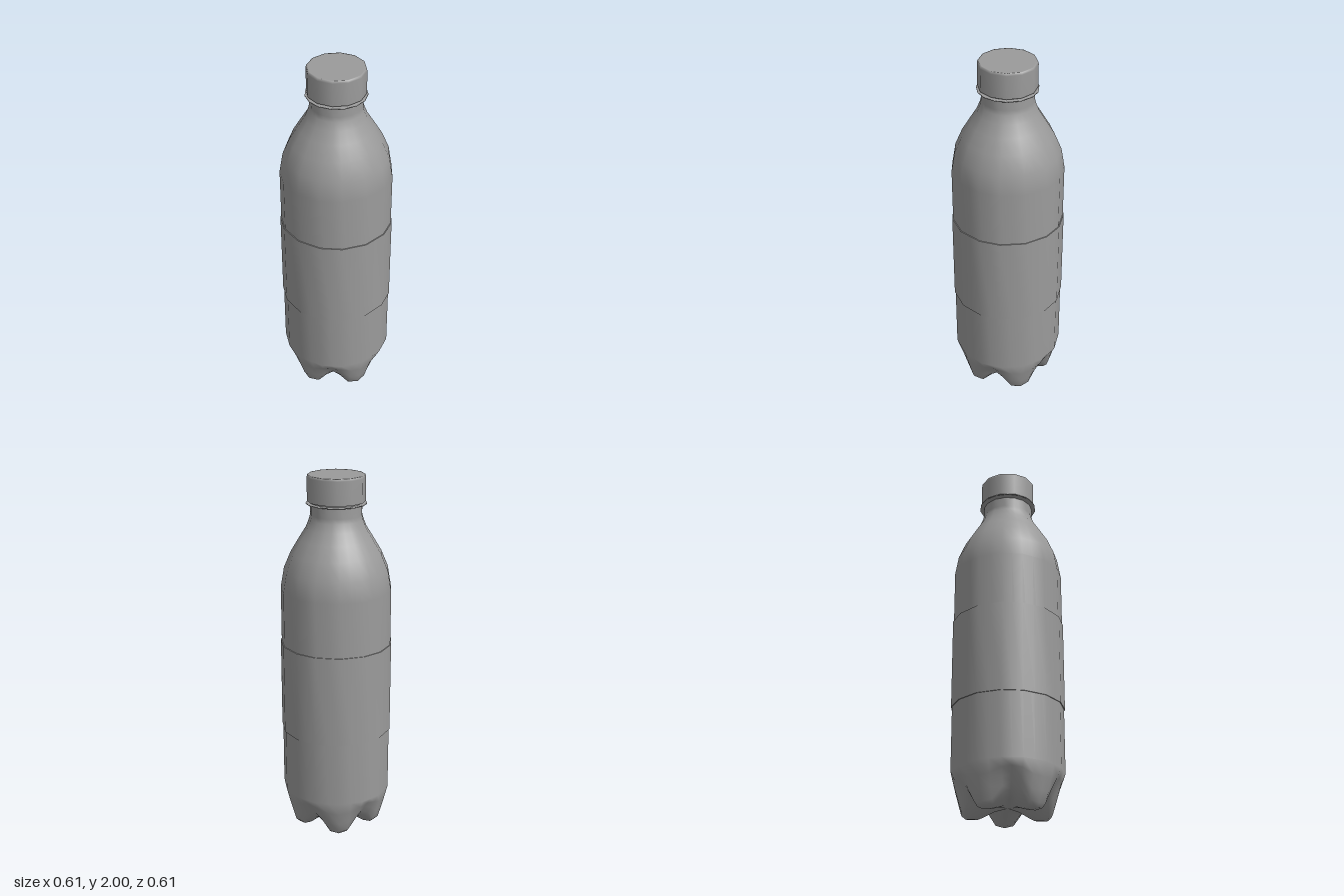
import * as THREE from 'three';
import { mergeVertices } from 'three/addons/utils/BufferGeometryUtils.js';

const material = new THREE.MeshStandardMaterial({ color: 0x9b9b9b });
const thin = new THREE.MeshStandardMaterial({ color: 0x9b9b9b, side: THREE.DoubleSide });
const rad = THREE.MathUtils.degToRad;

// One lobe of the five-fold plan: angle from the foot centre, scale that keeps
// the point on a 15-sided outline, and how far it belongs to the valley.
const lobe = [
  [-25.2, 1, 0.75], [-12.6, 0.976, 0.1], [0, 1, 0],
  [12.6, 0.976, 0.1], [25.2, 1, 0.75], [36, 0.982, 1],
];
const columns = [];
for (let i = 0; i < 5; i++) {
  for (const [angle, scale, valley] of lobe) {
    columns.push({ angle: rad(21.8 + 72 * i + angle), scale, valley });
  }
}

// Skins rows of [footRadius, footY, valleyRadius, valleyY], listed bottom to top.
function loft(rows) {
  const n = columns.length, positions = [], indices = [];
  rows.forEach(([fr, fy, vr = fr, vy = fy], j) => {
    columns.forEach(({ angle, scale, valley }, i) => {
      const r = THREE.MathUtils.lerp(fr, vr, valley) * scale;
      positions.push(r * Math.cos(angle), THREE.MathUtils.lerp(fy, vy, valley), r * Math.sin(angle));
      if (j === rows.length - 1) return;
      const a = j * n + i, b = j * n + (i + 1) % n;
      if (fr > 0) indices.push(a, b + n, b);
      indices.push(a, a + n, b + n);
    });
  });
  let geometry = new THREE.BufferGeometry();
  geometry.setAttribute('position', new THREE.Float32BufferAttribute(positions, 3));
  geometry.setIndex(indices);
  geometry = mergeVertices(geometry);
  geometry.computeVertexNormals();
  return geometry;
}

function lathe(points, sides, phi = 0) {
  return new THREE.LatheGeometry(points.map(([x, y]) => new THREE.Vector2(x, y)), sides, phi);
}

export function createModel() {
  const group = new THREE.Group();
  const add = (name, geometry, mat = material) => {
    const mesh = new THREE.Mesh(geometry, mat);
    mesh.name = name;
    group.add(mesh);
  };

  // Bottle: domed underside, five feet, straight wall, shoulder and neck
  const bodyRadius = 0.302;
  add('bottleBody', loft([
    [0, 0.045],
    [0.08, 0.035, 0.07, 0.05],
    [0.14, 0.012, 0.13, 0.055],
    [0.18, 0, 0.17, 0.065],
    [0.225, 0.002, 0.205, 0.09],
    [0.247, 0.022, 0.23, 0.12],
    [0.264, 0.08, 0.253, 0.155],
    [0.283, 0.15, 0.28, 0.19],
    [bodyRadius, 0.225],
    [bodyRadius, 1.385],
    [0.283, 1.495],
    [0.245, 1.585],
    [0.2, 1.66],
    [0.163, 1.72],
    [0.145, 1.765],
    [0.139, 1.79],
    [0.139, 1.9],
  ]));

  // Wrap-around label sleeve with its two thin rims
  const labelRadius = 0.307, labelBottom = 0.583, labelTop = 1.085;
  add('label', loft([[labelRadius, labelBottom], [labelRadius, labelTop]]), thin);
  add('labelBottomRim', loft([[bodyRadius, labelBottom], [labelRadius, labelBottom]]));
  add('labelTopRim', loft([[labelRadius, labelTop], [bodyRadius, labelTop]]));

  // Thin flange below the cap
  add('neckRing', lathe(
    [[0.137, 1.843], [0.162, 1.848], [0.162, 1.853], [0.137, 1.853]], 15, rad(4)));

  // Cap: wall rounding over into a flat lid, with a flat underside
  const capRadius = 0.155, capBase = 1.861;
  add('cap', lathe(
    [[capRadius, capBase], [capRadius, 1.988], [0.152, 2], [0.145, 2], [0, 2]], 12));
  add('capUnderside', lathe([[0.12, capBase], [capRadius, capBase]], 12));

  return group;
}
